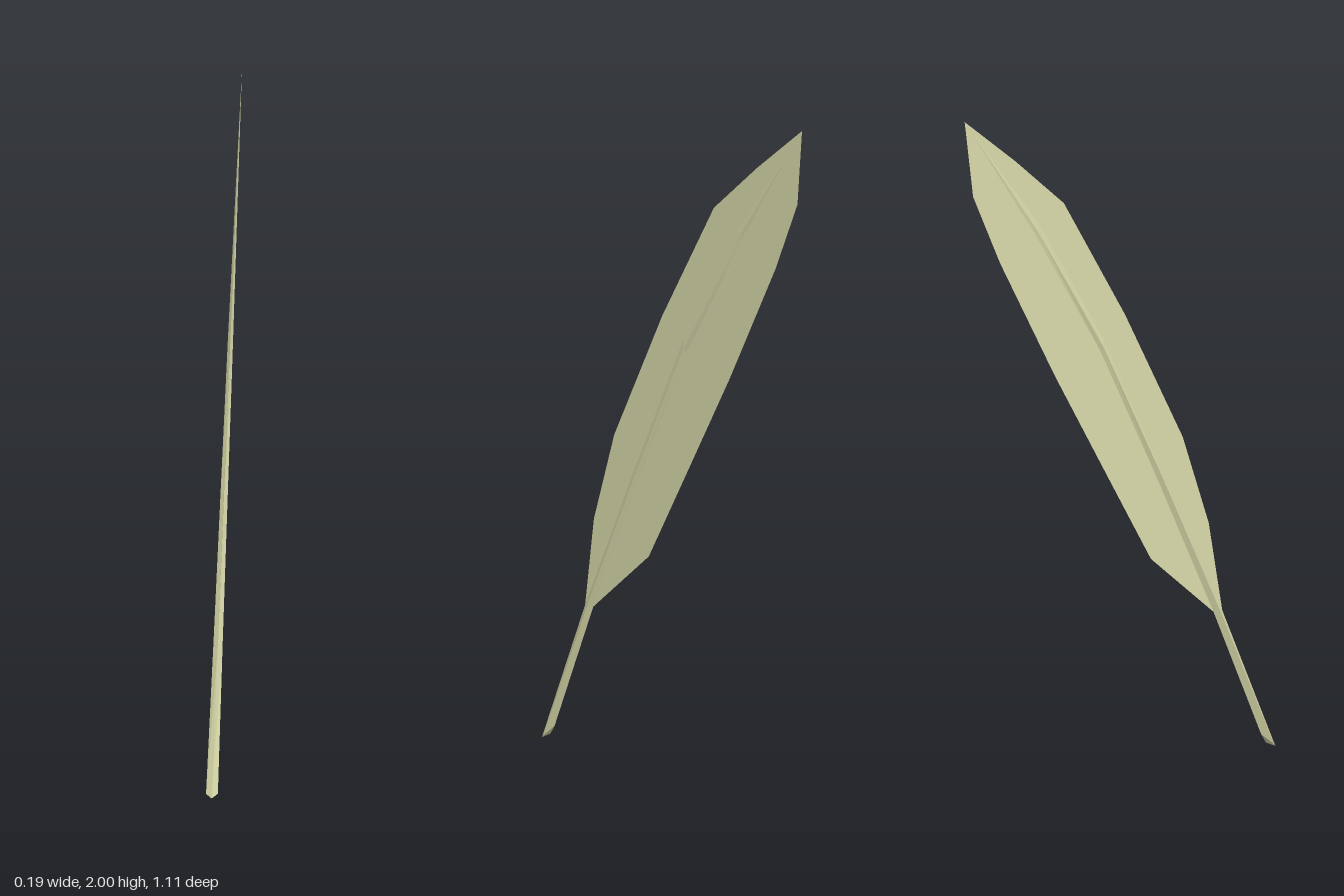
import * as THREE from 'three';

// The feather lies in one slightly turned plane: x follows from z and y
const planeX = (z, y) => 0.092 - 0.035 * (2 - y) - 0.09 * (z + 0.555);

const TIP = [-0.555, 2];
// Shaft ridges as [z, y] from the root to the tip
const FRONT = [[0.555, 0], [0.368, 0.43], [0.157, 0.87], [-0.055, 1.3], [-0.286, 1.665], TIP];
const MIDDLE = [[0.535, 0.01], [0.347, 0.435], [0.147, 0.855], [-0.061, 1.272], [-0.296, 1.648], TIP];
const BACK = [[0.503, 0.04], [0.335, 0.428], [0.139, 0.845], [-0.066, 1.258], [-0.302, 1.638], TIP];
const HALF_WIDTH = [0.018, 0.014, 0.011, 0.008, 0.004, 0];

// Outer edges of the two vanes
const FRONT_EDGE = [[0.325, 0.7], [0.235, 0.97], [0.03, 1.36], [-0.19, 1.72], [-0.37, 1.865]];
const BACK_EDGE = [[0.105, 0.61], [-0.065, 0.9], [-0.24, 1.2], [-0.435, 1.56], [-0.53, 1.77]];

// Four-sided tapering shaft, lofted through diamond cross-sections
function shaftGeometry() {
  const positions = [];
  const index = [];
  const put = ([z, y], side) => positions.push(planeX(z, y) + side, y, z);
  HALF_WIDTH.forEach((w, i) => {
    put(FRONT[i], 0);
    put(MIDDLE[i], w);
    put(BACK[i], 0);
    put(MIDDLE[i], -w);
  });
  for (let i = 0; i < HALF_WIDTH.length - 1; i++) {
    for (let k = 0; k < 4; k++) {
      const a = i * 4 + k;
      const b = i * 4 + (k + 1) % 4;
      index.push(a, b, b + 4);
      if (i < HALF_WIDTH.length - 2) index.push(a, b + 4, a + 4);
    }
  }
  index.push(0, 3, 2, 0, 2, 1); // root cap
  const geometry = new THREE.BufferGeometry();
  geometry.setAttribute('position', new THREE.Float32BufferAttribute(positions, 3));
  geometry.setIndex(index);
  const flat = geometry.toNonIndexed();
  flat.computeVertexNormals();
  return flat;
}

// Flat sheet between a shaft ridge and an outer edge, laid into the feather plane
function vaneGeometry(ridge, edge) {
  const outline = [...ridge.slice(1), ...[...edge].reverse()];
  const shape = new THREE.Shape(outline.map(([z, y]) => new THREE.Vector2(z, y)));
  const geometry = new THREE.ShapeGeometry(shape);
  const p = geometry.attributes.position;
  for (let i = 0; i < p.count; i++) {
    const z = p.getX(i);
    const y = p.getY(i);
    p.setXYZ(i, planeX(z, y), y, z);
  }
  // Turn every triangle so that its front faces +x
  const order = geometry.index.array;
  for (let i = 0; i < order.length; i += 3) {
    [order[i + 1], order[i + 2]] = [order[i + 2], order[i + 1]];
  }
  geometry.computeVertexNormals();
  return geometry;
}

export function createModel() {
  const group = new THREE.Group();
  group.name = 'feather';
  const material = new THREE.MeshStandardMaterial({ color: 0xd8d9a9, flatShading: true, side: THREE.DoubleSide });
  material.name = 'pale straw';

  const add = (name, geometry) => {
    const mesh = new THREE.Mesh(geometry, material);
    mesh.name = name;
    group.add(mesh);
  };
  add('shaft', shaftGeometry());
  add('frontVane', vaneGeometry(FRONT, FRONT_EDGE));
  add('backVane', vaneGeometry(BACK, BACK_EDGE));
  return group;
}
